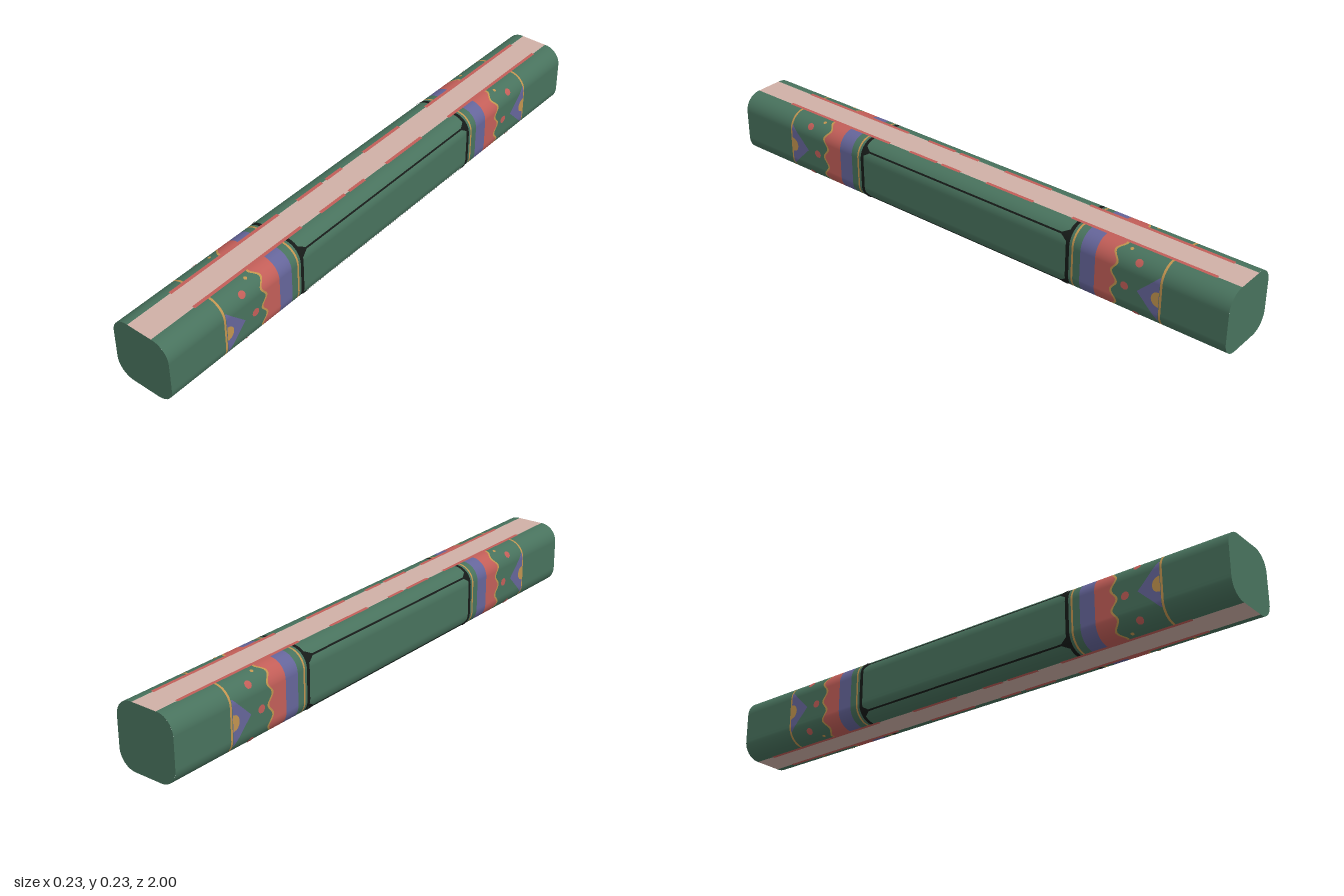
import * as THREE from 'three';

const FLAT = 0.052, R = 0.06, LEN = 1;        // half flat width, corner radius, half length
const ARC = FLAT + R * Math.PI / 2;           // girth position where the corner ends
const EDGE = ARC + 0.004, MID = ARC + FLAT;   // edge of the long strip, centre of top face

// Point and normal at girth position s: 0 = middle of side, +MID = top centre, -MID = bottom centre
function section(s) {
  const a = Math.abs(s), g = Math.sign(s);
  if (a <= FLAT) return [FLAT + R, s, 1, 0];
  if (a < ARC) {
    const t = (a - FLAT) / R;
    return [FLAT + R * Math.cos(t), g * (FLAT + R * Math.sin(t)), Math.cos(t), g * Math.sin(t)];
  }
  return [MID - a, g * (FLAT + R), 0, g];
}

// Curved patch over the bar between girths s0..s1 and lengths z0(s)..z1(s)
function patch(s0, s1, z0, z1, side, end, lift = 0, n = 40) {
  const f = v => (typeof v === 'function' ? v : () => v);
  const pos = [], nor = [], idx = [];
  for (let i = 0; i <= n; i++) {
    const s = s0 + (s1 - s0) * i / n;
    const [x, y, nx, ny] = section(s);
    for (const z of [f(z0)(s), f(z1)(s)]) {
      pos.push(side * (x + nx * lift), y + ny * lift + FLAT + R, end * z);
      nor.push(side * nx, ny, 0);
    }
    if (i < n) {
      const a = 2 * i, b = a + 1, c = a + 2, d = a + 3;
      if (side * end > 0) idx.push(a, c, b, b, c, d);
      else idx.push(a, b, c, b, d, c);
    }
  }
  const g = new THREE.BufferGeometry();
  g.setAttribute('position', new THREE.Float32BufferAttribute(pos, 3));
  g.setAttribute('normal', new THREE.Float32BufferAttribute(nor, 3));
  g.setIndex(idx);
  return g;
}

export function createModel() {
  const mat = (name, color) => Object.assign(new THREE.MeshStandardMaterial({ color }), { name });
  const green = mat('green', 0x48725d), pink = mat('palePink', 0xd0b0a6);
  const red = mat('red', 0xc25e58), blue = mat('violetBlue', 0x65659a);
  const orange = mat('ochre', 0xc2944f), black = mat('black', 0x161a18);

  const model = new THREE.Group();
  model.name = 'decoratedBar';
  const add = (name, geo, m) => {
    const mesh = new THREE.Mesh(geo, m);
    mesh.name = name;
    model.add(mesh);
    return mesh;
  };

  // End caps
  const outline = [];
  for (const side of [1, -1]) {
    for (let i = 0; i <= 40; i++) {
      const [x, y] = section(side * (-MID + 2 * MID * i / 40));
      outline.push(new THREE.Vector2(side * x, y + FLAT + R));
    }
  }
  const capGeo = new THREE.ShapeGeometry(new THREE.Shape(outline));
  add('frontCap', capGeo, green).position.z = LEN;
  const back = add('backCap', capGeo, green);
  back.position.z = -LEN;
  back.rotation.y = Math.PI;

  // Bands around the sides, from the middle of the bar to its end
  const wave = s => 0.6 + 0.01 * Math.cos(s * 90);
  const waveOut = s => wave(s) + 0.008;
  const bands = [
    ['middleSide', 0, 0.425, green], ['blackBand', 0.425, 0.438, black],
    ['innerGreenLine', 0.438, 0.447, green], ['thinOchreBand', 0.447, 0.454, orange],
    ['greenBand', 0.454, 0.48, green], ['blueBand', 0.48, 0.535, blue],
    ['redBand', 0.535, wave, red], ['wavyOchreBand', wave, waveOut, orange],
    ['patternGround', waveOut, 0.768, green], ['endOchreBand', 0.768, 0.776, orange],
    ['endSide', 0.776, LEN, green],
  ];

  // Red edging along the strip: start and end of each dash along z
  const dashes = [[-0.92, -0.4], [-0.25, -0.06], [0.05, 0.13], [0.15, 0.27], [0.36, 0.83]];

  for (const side of [1, -1]) {
    for (const end of [1, -1]) {
      for (const [name, z0, z1, m] of bands) {
        add(name, patch(-EDGE, EDGE, z0, z1, side, end), m);
      }
      const dot = (name, s, z, r, m, lift) => {
        const w = q => Math.sqrt(Math.max(0, r * r - (q - s) ** 2));
        add(name, patch(s - r, s + r, q => z - w(q), q => z + w(q), side, end, lift, 12), m);
      };
      // Pointed flower with a half-round heart
      add('bluePoint', patch(-0.075, 0.075, q => 0.69 + Math.abs(q), 0.768, side, end, 0.0015), blue);
      add('ochreHeart', patch(-0.027, 0.027,
        q => 0.768 - Math.sqrt(Math.max(0, 0.027 ** 2 - q * q)), 0.768, side, end, 0.003, 16), orange);
      // Scattered berries
      dot('redBerry', 0, 0.645, 0.014, red, 0.0015);
      for (const g of [1, -1]) {
        dot('redBerry', g * 0.092, 0.685, 0.013, red, 0.0015);
        dot('ochreBerry', g * 0.125, 0.64, 0.006, orange, 0.0015);
        // Black panel line with flared corner
        const c = g * 0.087;
        add('panelLine', patch(c - 0.003, c + 0.003, 0, 0.42, side, end, 0.0015, 4), black);
        add('panelCorner', patch(c - 0.018, c + 0.018,
          q => 0.398 + 1.5 * Math.abs(q - c), 0.428, side, end, 0.002, 12), black);
      }
    }
    // Long strips on top and underside, with dashed edging
    for (const g of [1, -1]) {
      const [a, b] = g > 0 ? [EDGE, MID] : [-MID, -EDGE];
      add(g > 0 ? 'topStrip' : 'bottomStrip', patch(a, b, -LEN, LEN, side, 1, 0, 2), pink);
      for (const [z0, z1] of dashes) {
        add('redEdging', patch(g * EDGE - 0.006, g * EDGE + 0.006, z0, z1, side, 1, 0.0012, 4), red);
      }
    }
  }
  return model;
}
